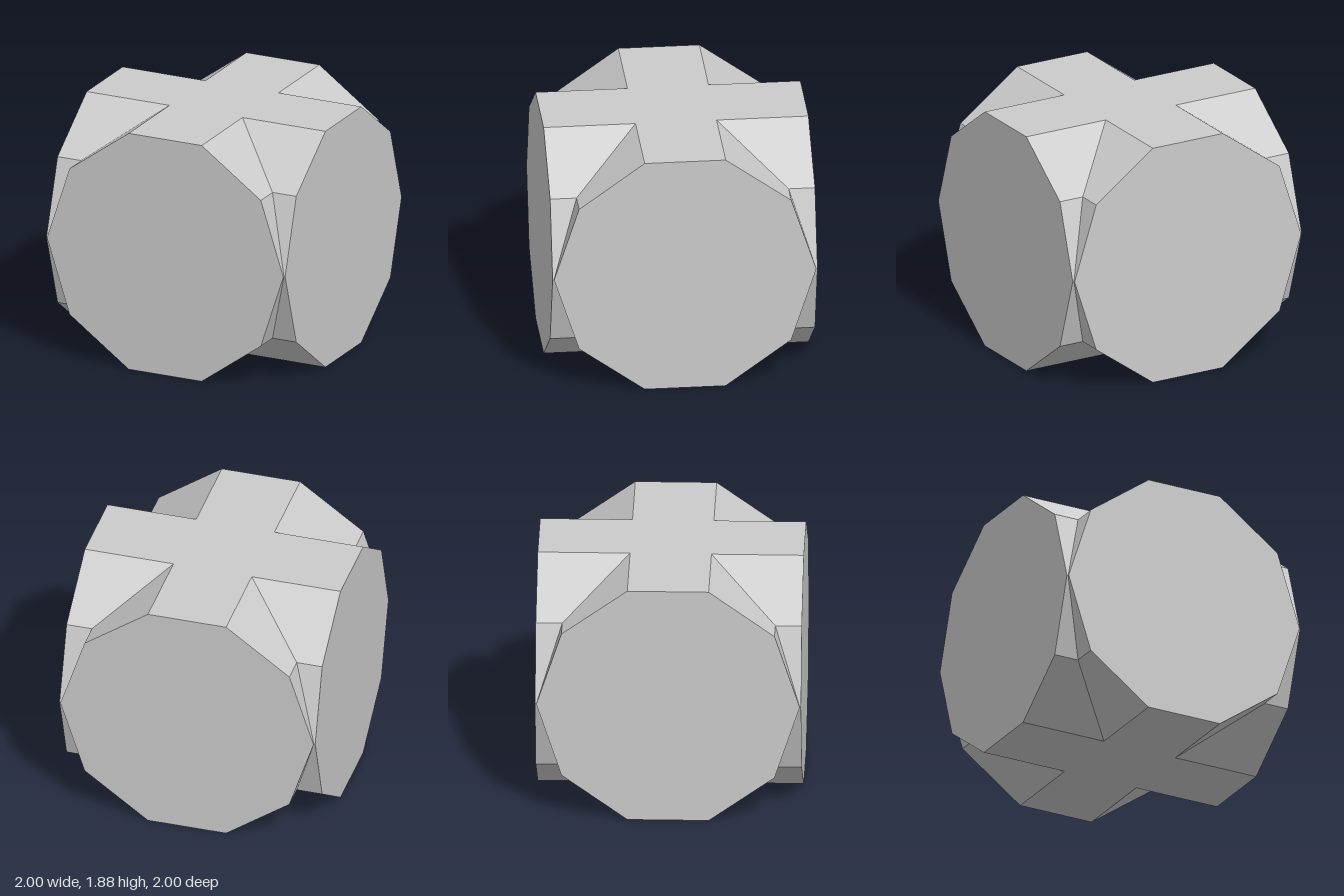
import * as THREE from 'three';

export function createModel() {
  const group = new THREE.Group();
  group.name = 'crossedPrisms';
  const material = new THREE.MeshStandardMaterial({ color: 0xcccccc, flatShading: true });

  // Ten-sided prism with flat top and bottom, lying along x
  const length = 2, radius = 0.99, sides = 10;
  const apothem = radius * Math.cos(Math.PI / sides);
  const prism = new THREE.CylinderGeometry(radius, radius, length, sides).rotateZ(Math.PI / 2);

  // Two identical prisms crossing at right angles, resting on the ground
  for (const [name, turn] of [['sidewaysPrism', 0], ['frontToBackPrism', Math.PI / 2]]) {
    const mesh = new THREE.Mesh(prism, material);
    mesh.name = name;
    mesh.rotation.y = turn;
    mesh.position.y = apothem;
    group.add(mesh);
  }
  return group;
}
